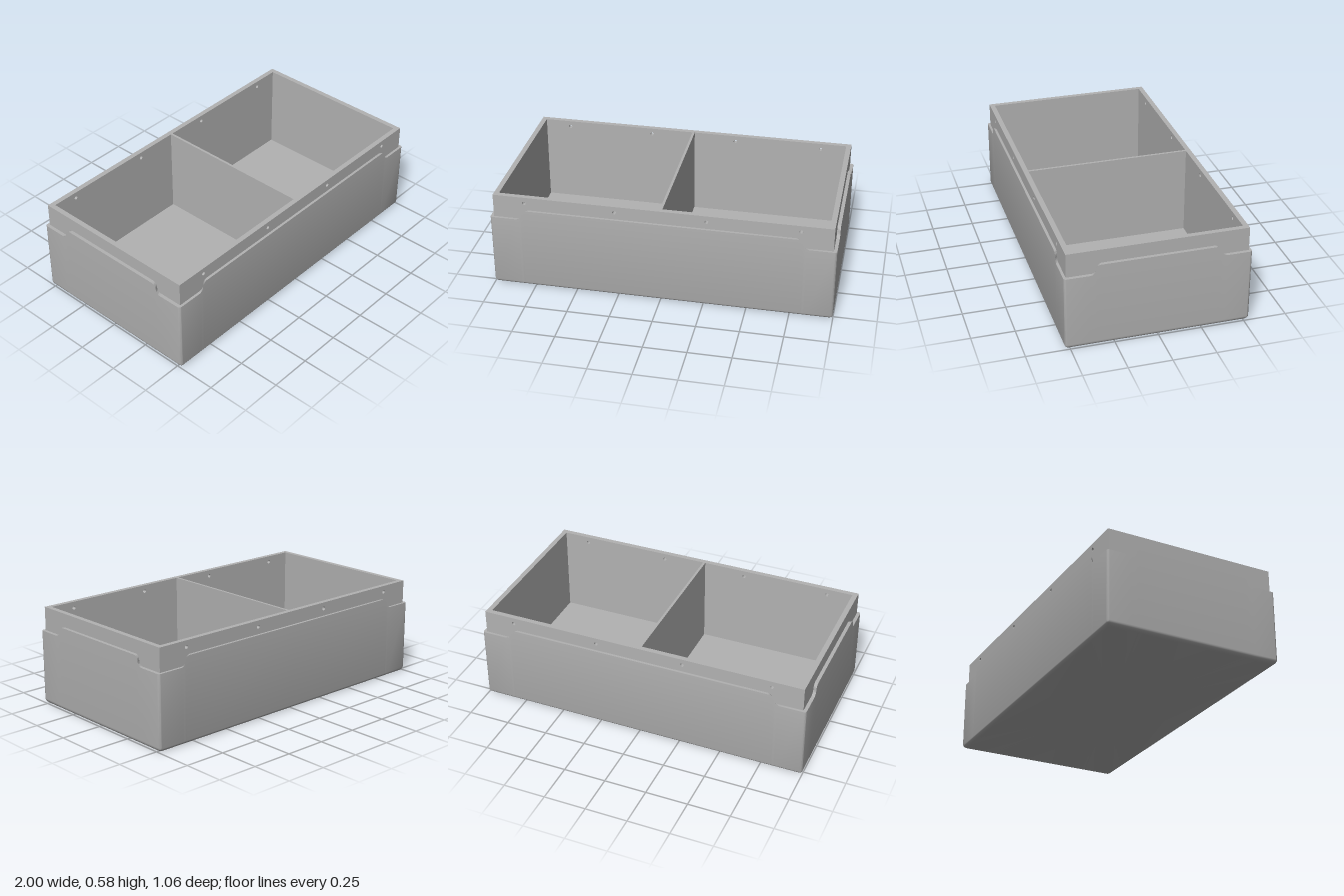
import * as THREE from 'three';
import { toCreasedNormals } from 'three/addons/utils/BufferGeometryUtils.js';

const X = 1, Z = 0.53;              // tray half sizes
const LX = 0.98, LZ = 0.515;        // liner half sizes
const HIGH = 0.505, LOW = 0.445;    // tray rim heights
const TOP = 0.585, FLOOR = 0.03, WALL = 0.03;

// S-shaped step of the rim: [distance, height]
function rimStep(start) {
  const r = (HIGH - LOW) / 2, n = 8, first = [];
  for (let i = 0; i <= n; i++) {
    const a = (i / n) * Math.PI / 2;
    first.push([r * Math.sin(a), HIGH - r * (1 - Math.cos(a))]);
  }
  const second = first.slice(0, n).reverse().map(([d, h]) => [2 * r - d, HIGH + LOW - h]);
  return [...first, ...second].map(([d, h]) => [start + d, h]);
}

// Outline of the tray with the rim height at every point: [x, z, height]
function trayOutline() {
  const quarter = [[X, 0, HIGH]];
  rimStep(0.325).forEach(([z, h]) => quarter.push([X, z, h]));
  const r = 0.014;
  for (let i = 0; i <= 5; i++) {
    const a = (i / 5) * Math.PI / 2;
    quarter.push([X - r + r * Math.cos(a), Z - r + r * Math.sin(a), LOW]);
  }
  rimStep(0.785).reverse().forEach(([x, h]) => quarter.push([x, Z, h]));
  quarter.push([0, Z, HIGH]);
  const mirrored = quarter.map(([x, z, h]) => [-x, z, h]).reverse();
  const half = [...quarter.slice(0, -1), ...mirrored.slice(0, -1)];
  return [...half, ...half.map(([x, z, h]) => [-x, -z, h])];
}

// Tray skin lofted from the bottom centre, round the lower edge and over the rim
function trayGeometry() {
  const outline = trayOutline(), n = outline.length, R = 0.027;
  const inset = (d, e, y) => outline.map(([x, z, h]) =>
    [x * (1 - d / X), y ?? h, z * (1 - e / Z)]);
  const rings = [inset(X, Z, 0)];
  for (let i = 0; i <= 6; i++) {
    const a = (i / 6) * Math.PI / 2, d = R * (1 - Math.sin(a));
    rings.push(inset(d, d, R * (1 - Math.cos(a))));
  }
  rings.push(inset(0, 0));
  rings.push(inset(X - LX, Z - LZ));
  const index = [];
  for (let j = 0; j < rings.length - 1; j++) {
    for (let i = 0; i < n; i++) {
      const k = (i + 1) % n, a = j * n, b = a + n;
      if (j > 0) index.push(a + i, b + i, a + k);
      index.push(a + k, b + i, b + k);
    }
  }
  const g = new THREE.BufferGeometry();
  g.setAttribute('position', new THREE.Float32BufferAttribute(rings.flat(2), 3));
  g.setIndex(index);
  return toCreasedNormals(g, 0.6);
}

// Long liner wall with four drilled holes
function drilledWall() {
  const s = new THREE.Shape();
  s.moveTo(-LX, FLOOR).lineTo(LX, FLOOR).lineTo(LX, TOP).lineTo(-LX, TOP).closePath();
  for (const x of [-0.795, -0.265, 0.265, 0.795]) {
    s.holes.push(new THREE.Path().absarc(x, 0.548, 0.011, 0, Math.PI * 2, true));
  }
  return new THREE.ExtrudeGeometry(s, { depth: WALL, bevelEnabled: false, curveSegments: 12 });
}

export function createModel() {
  const model = new THREE.Group();
  model.name = 'dividedBox';
  const grey = new THREE.MeshStandardMaterial({ color: 0xb2b2b2 });
  grey.name = 'grey';

  const add = (name, geometry, x = 0, y = 0, z = 0) => {
    const mesh = new THREE.Mesh(geometry, grey);
    mesh.name = name;
    mesh.position.set(x, y, z);
    model.add(mesh);
  };

  add('outerTray', trayGeometry());

  // Inner liner
  const height = TOP - FLOOR, mid = (TOP + FLOOR) / 2, depth = 2 * (LZ - WALL);
  add('linerFrontWall', drilledWall(), 0, 0, LZ - WALL);
  add('linerBackWall', drilledWall(), 0, 0, -LZ);
  for (const side of [-1, 1]) {
    add(side > 0 ? 'linerLeftWall' : 'linerRightWall',
      new THREE.BoxGeometry(WALL, height, depth), side * (LX - WALL / 2), mid, 0);
  }
  add('linerFloor', new THREE.BoxGeometry(2 * (LX - WALL), 0.02, depth), 0, FLOOR + 0.01, 0);
  add('divider', new THREE.BoxGeometry(0.015, height, depth), 0, mid, 0);

  return model;
}
